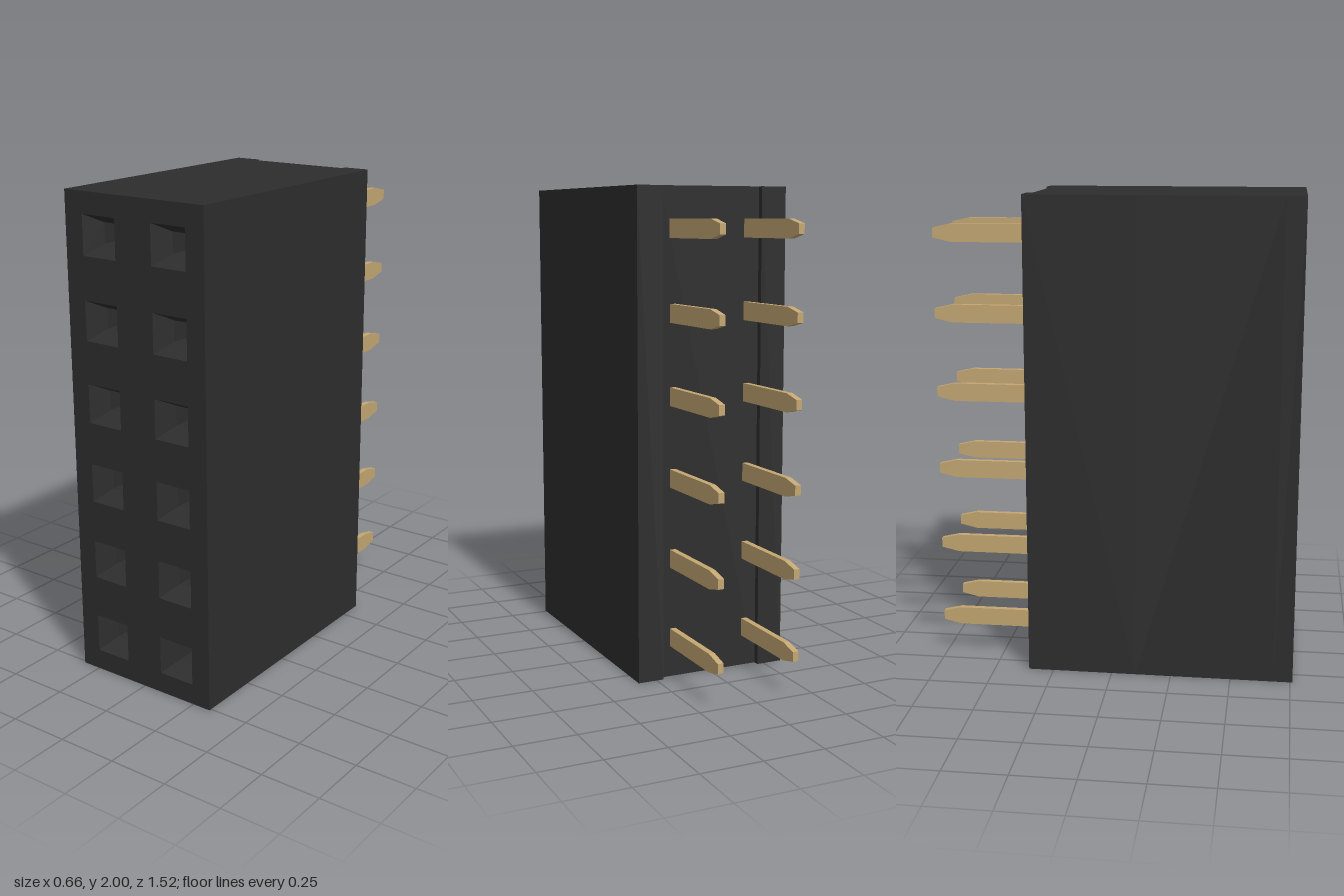
import * as THREE from 'three';

const W = 0.33, BACK = -0.355, FLOOR = 0.1, FRONT = 0.76;
const ROWS = 6, PITCH = 1 / 3, COL = 0.166;
const MOUTH = 0.08, BORE = 0.041, FUNNEL = 0.08;

const polygon = (points) => new THREE.Shape(points.map(([x, y]) => new THREE.Vector2(x, y)));
const square = (x, y, r) => [[x - r, y - r], [x - r, y + r], [x + r, y + r], [x + r, y - r]];

export function createModel() {
  const plastic = new THREE.MeshStandardMaterial({ color: 0x2d2d2d });
  plastic.name = 'blackPlastic';
  const brass = new THREE.MeshStandardMaterial({ color: 0xc4a772 });
  brass.name = 'brass';

  const model = new THREE.Group();
  model.name = 'pinSocket';
  const add = (name, geometry, material) => {
    const mesh = new THREE.Mesh(geometry, material);
    mesh.name = name;
    model.add(mesh);
    return mesh;
  };

  const sockets = [];
  for (let i = 0; i < ROWS; i++) {
    for (const x of [-COL, COL]) sockets.push([x, (i + 0.5) * PITCH]);
  }

  // Front housing: block with square sockets, funnelled at the mouth
  const face = polygon([[-W, 0], [W, 0], [W, 2], [-W, 2]]);
  for (const [x, y] of sockets) face.holes.push(polygon(square(x, y, MOUTH)));
  const depth = FRONT - FLOOR;
  const housing = new THREE.ExtrudeGeometry(face, { depth, steps: 2, bevelEnabled: false });
  const p = housing.attributes.position;
  for (let i = 0; i < p.count; i++) {
    const x = p.getX(i), y = p.getY(i), z = p.getZ(i);
    const atFront = z > depth * 0.75;
    const atMiddle = !atFront && z > depth * 0.25;
    // Behind the mouth, draw each socket corner in towards its centre
    if (!atFront && Math.abs(x) < W - 0.01) {
      const cx = Math.sign(x) * COL;
      const cy = (Math.floor(y / PITCH) + 0.5) * PITCH;
      p.setX(i, cx + (x - cx) * BORE / MOUTH);
      p.setY(i, cy + (y - cy) * BORE / MOUTH);
    }
    p.setZ(i, FLOOR + (atMiddle ? depth - FUNNEL : z));
  }
  housing.computeVertexNormals();
  add('frontHousing', housing, plastic);

  // Rear housing: closes the sockets, with a shallow channel down the back
  const rear = new THREE.ExtrudeGeometry(polygon([
    [-W, -FLOOR], [W, -FLOOR], [W, -BACK], [0.22, -BACK],
    [0.22, 0.33], [-0.22, 0.33], [-0.22, -BACK], [-W, -BACK],
  ]), { depth: 2, bevelEnabled: false });
  rear.rotateX(-Math.PI / 2);
  add('rearHousing', rear, plastic);

  // Flat contact pins with tapered tips
  const thickness = 0.025;
  const pin = new THREE.ExtrudeGeometry(polygon([
    [-0.76, -0.02], [-0.685, -0.0375], [0.2, -0.0375],
    [0.2, 0.0375], [-0.685, 0.0375], [-0.76, 0.02],
  ]), { depth: thickness, bevelEnabled: false });
  pin.translate(0, 0, -thickness / 2).rotateY(-Math.PI / 2);
  for (const [x, y] of sockets) add('contactPin', pin, brass).position.set(x, y, 0);

  return model;
}
